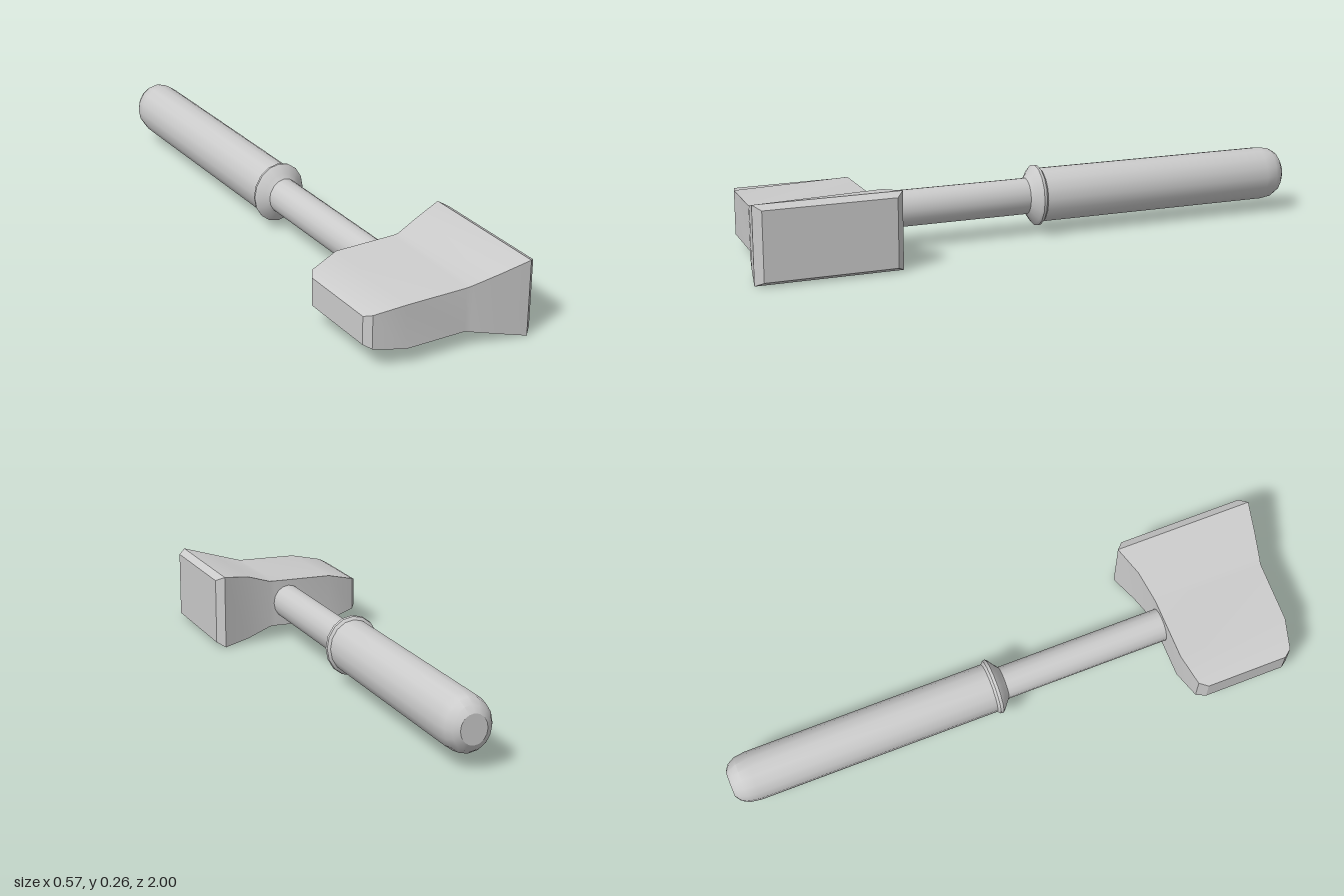
import * as THREE from 'three';
import { toCreasedNormals } from 'three/addons/utils/BufferGeometryUtils.js';

const MID_Y = 0.131;
const material = new THREE.MeshStandardMaterial({ color: 0xcccccc });

// Head cross-sections along x: [x, backZ, frontZ, half height at back, half height at front]
const SECTIONS = [
  [-0.287, 0.62, 0.905, 0.048, 0.048],
  [-0.268, 0.59, 0.93, 0.058, 0.057],
  [-0.165, 0.565, 0.955, 0.085, 0.075],
  [0.05, 0.565, 0.96, 0.085, 0.075],
  [0.07, 0.563, 0.965, 0.086, 0.08],
  [0.16, 0.545, 0.983, 0.116, 0.104],
  [0.26, 0.51, 1.0, 0.131, 0.131],
  [0.287, 0.535, 0.975, 0.116, 0.116],
];

function headGeometry() {
  const positions = [];
  const index = [];
  for (const [x, zb, zf, hb, hf] of SECTIONS) {
    positions.push(x, MID_Y - hb, zb, x, MID_Y + hb, zb, x, MID_Y + hf, zf, x, MID_Y - hf, zf);
  }
  // Side walls between neighbouring sections
  for (let s = 0; s < SECTIONS.length - 1; s++) {
    for (let k = 0; k < 4; k++) {
      const a = s * 4 + k;
      const b = s * 4 + (k + 1) % 4;
      index.push(a, b, b + 4, a, b + 4, a + 4);
    }
  }
  // End faces
  const e = (SECTIONS.length - 1) * 4;
  index.push(0, 2, 1, 0, 3, 2, e, e + 1, e + 2, e, e + 2, e + 3);
  const g = new THREE.BufferGeometry();
  g.setAttribute('position', new THREE.Float32BufferAttribute(positions, 3));
  g.setIndex(index);
  return toCreasedNormals(g, 0.4);
}

// Turned part lying along z, slightly narrower in x; profile is [radius, z] from back to front
function turned(profile) {
  const g = new THREE.LatheGeometry(profile.map(([r, z]) => new THREE.Vector2(r, z)), 16);
  g.rotateX(Math.PI / 2);
  g.scale(0.9, 1, 1);
  g.translate(-0.004, MID_Y + 0.001, 0);
  return toCreasedNormals(g, 0.55);
}

export function createModel() {
  const group = new THREE.Group();
  group.name = 'hammer';
  const add = (name, geometry) => {
    const mesh = new THREE.Mesh(geometry, material);
    mesh.name = name;
    group.add(mesh);
  };

  add('head', headGeometry());
  add('shaft', turned([[0.063, -0.06], [0.063, 0.62]]));

  // Grip with rounded butt and flared collar
  add('grip', turned([
    [0, -1], [0.05, -1], [0.073, -0.985], [0.088, -0.96], [0.094, -0.92],
    [0.094, -0.07], [0.104, -0.062], [0.106, -0.052], [0.099, -0.044],
    [0.078, -0.03], [0.063, -0.018],
  ]));
  return group;
}
